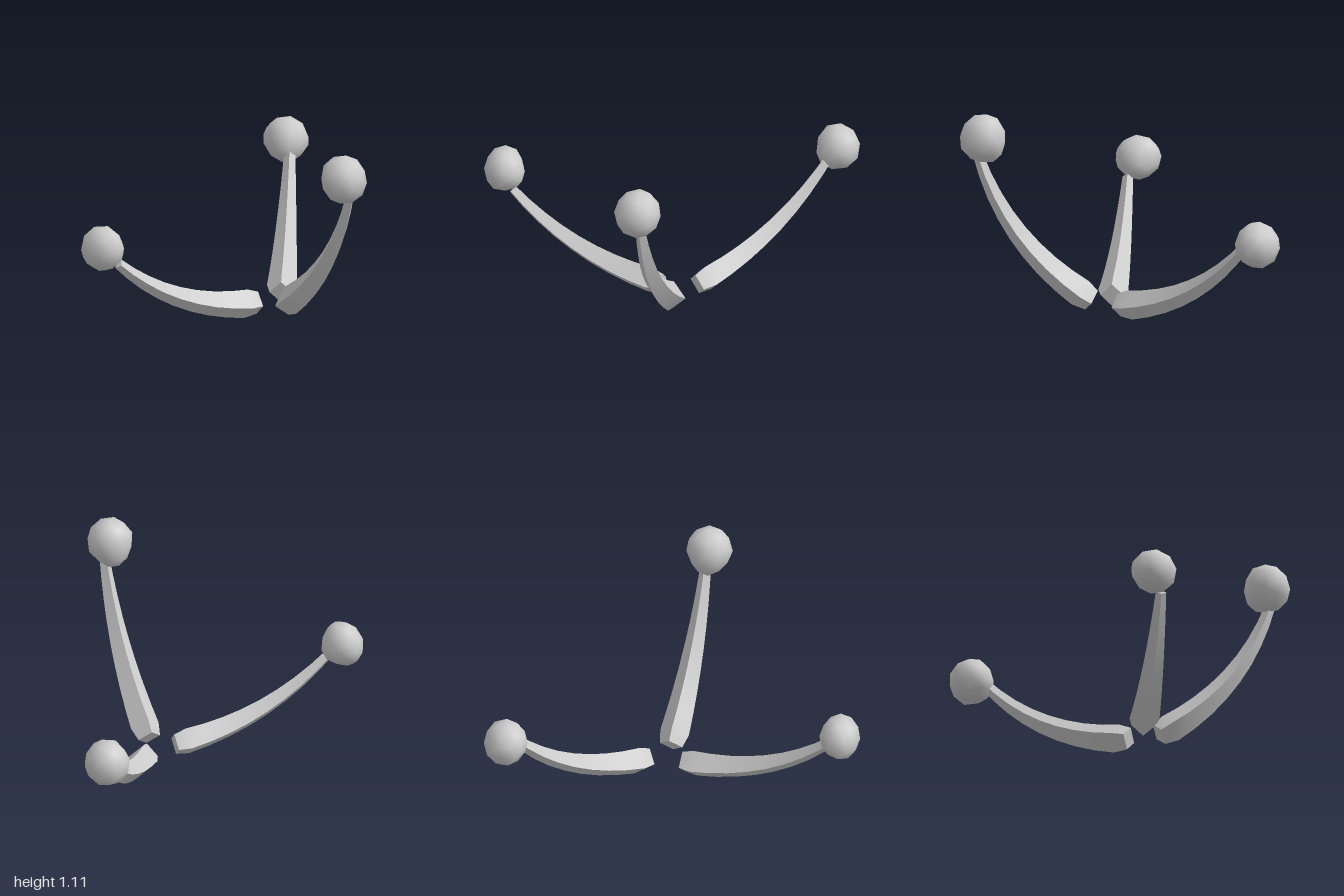
import * as THREE from 'three';
import { mergeVertices } from 'three/addons/utils/BufferGeometryUtils.js';

const V = (x, y, z) => new THREE.Vector3(x, y, z);
const material = new THREE.MeshStandardMaterial({ color: 0xcccccc });

// Each arm: root and tip of the stalk, then centre and half sizes of its ball
const ARMS = [
  { name: 'tallArm', root: V(0.08, 0.09, -0.05), tip: V(0.665, 0.89, 0.095), ball: V(0.64, 0.99, 0.115), half: V(0.12, 0.135, 0.125) },
  { name: 'backArm', root: V(-0.045, 0.09, -0.165), tip: V(-0.575, 0.59, -0.845), ball: V(-0.64, 0.613, -0.885), half: V(0.12, 0.123, 0.115) },
  { name: 'frontArm', root: V(-0.05, 0.085, 0.025), tip: V(-0.325, 0.475, 0.84), ball: V(-0.395, 0.56, 0.89), half: V(0.125, 0.12, 0.11) },
];

// Stalk half thickness: chamfered root, then a steady taper
const thickness = (t) => (t < 0.07 ? 0.063 + t * 0.25 : 0.0805 - (t - 0.07) * 0.056);

// Upward-curving diamond-section stalk; each long side is smooth, with sharp ridges between
function stalkGeometry(root, tip) {
  const chord = tip.clone().sub(root);
  const side = V(0, 1, 0).cross(chord).normalize();
  const sag = side.clone().cross(chord).multiplyScalar(0.18);
  const control = root.clone().add(tip).multiplyScalar(0.5).add(sag);
  const curve = new THREE.QuadraticBezierCurve3(root, control, tip);

  const rings = [0, 0.07, 0.18, 0.3, 0.42, 0.54, 0.66, 0.78, 0.9, 1].map((t) => {
    const p = curve.getPoint(t);
    const up = curve.getTangent(t).cross(side).normalize();
    const r = thickness(t);
    return [0, 1, 2, 3].map((i) => {
      const a = (i * Math.PI) / 2;
      return p.clone().addScaledVector(side, r * Math.cos(a)).addScaledVector(up, r * Math.sin(a));
    });
  });

  const pos = [];
  const index = [];
  const add = (p) => pos.push(p.x, p.y, p.z) / 3 - 1;
  for (let s = 0; s < 4; s++) {
    const start = pos.length / 3;
    rings.forEach((ring) => { add(ring[s]); add(ring[(s + 1) % 4]); });
    for (let k = 0; k < rings.length - 1; k++) {
      const a = start + k * 2;
      index.push(a, a + 1, a + 2, a + 1, a + 3, a + 2);
    }
  }
  // End caps
  const first = rings[0].map(add);
  const last = rings[rings.length - 1].map(add);
  index.push(first[0], first[2], first[1], first[0], first[3], first[2]);
  index.push(last[0], last[1], last[2], last[0], last[2], last[3]);

  const g = new THREE.BufferGeometry();
  g.setAttribute('position', new THREE.Float32BufferAttribute(pos, 3));
  g.setIndex(index);
  g.computeVertexNormals();
  return g;
}

// Coarse, smooth-shaded ball narrowing toward its stalk
function ballGeometry({ root, tip, ball, half }, turn) {
  let g = new THREE.IcosahedronGeometry(1, 1);
  g.deleteAttribute('uv');
  g.deleteAttribute('normal');
  g = mergeVertices(g, 1e-3);
  g.rotateX(0.5 + turn * 1.3).rotateZ(0.3 + turn * 0.9);
  const axis = tip.clone().sub(root).normalize();
  const p = g.attributes.position;
  const v = V(0, 0, 0);
  for (let i = 0; i < p.count; i++) {
    v.fromBufferAttribute(p, i);
    const d = v.dot(axis);
    if (d < 0) {
      v.addScaledVector(axis, -d).multiplyScalar(1 + 0.22 * d).addScaledVector(axis, d);
    }
    p.setXYZ(i, v.x, v.y, v.z);
  }
  // Fit to the wanted size
  g.center();
  g.computeBoundingBox();
  const m = g.boundingBox.max;
  g.scale(half.x / m.x, half.y / m.y, half.z / m.z);
  g.translate(ball.x, ball.y, ball.z);
  g.computeVertexNormals();
  return g;
}

export function createModel() {
  const model = new THREE.Group();
  model.name = 'threeStalks';
  ARMS.forEach((arm, i) => {
    const group = new THREE.Group();
    group.name = arm.name;
    const stalk = new THREE.Mesh(stalkGeometry(arm.root, arm.tip), material);
    stalk.name = 'stalk';
    const ball = new THREE.Mesh(ballGeometry(arm, i), material);
    ball.name = 'ball';
    group.add(stalk, ball);
    model.add(group);
  });
  return model;
}
